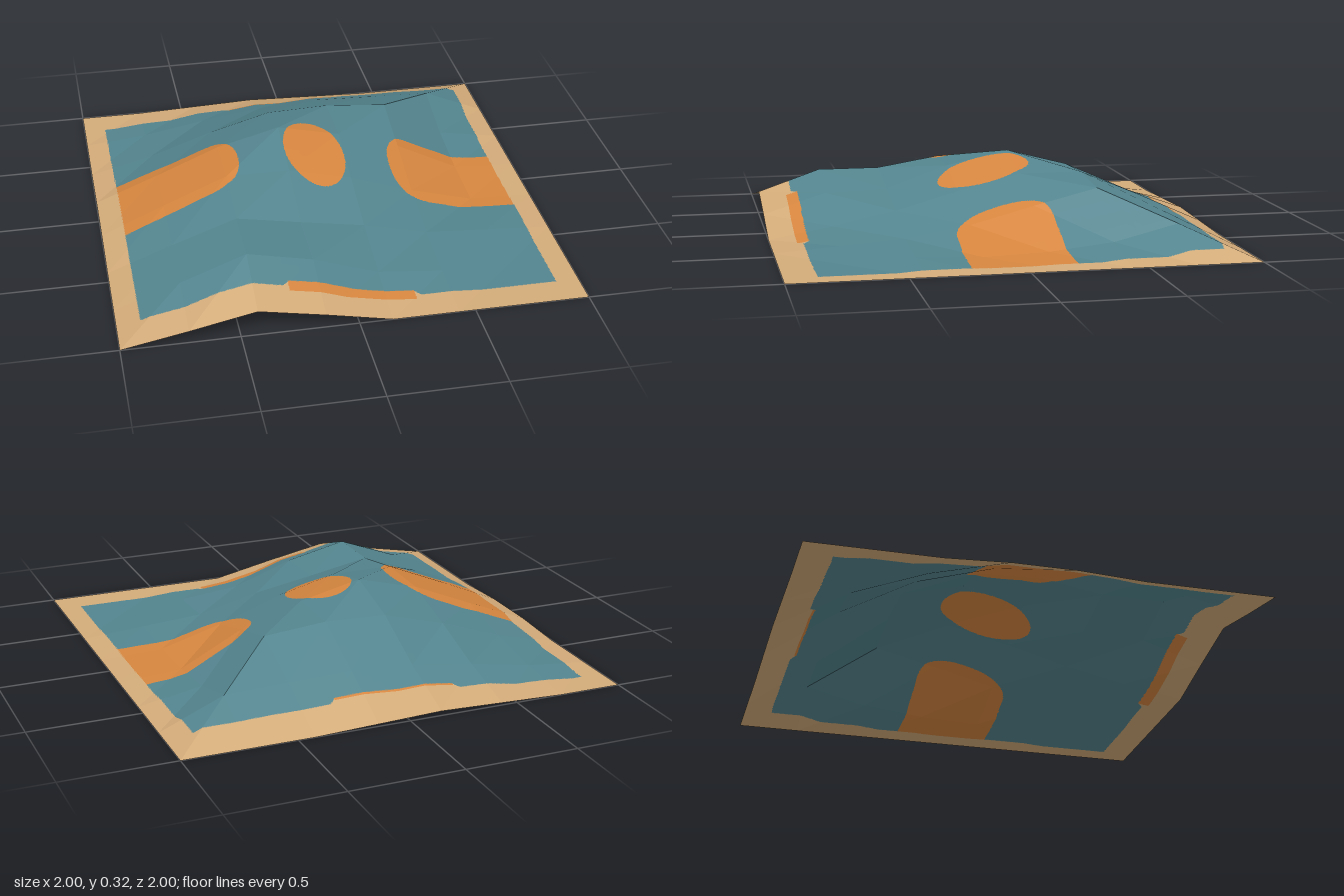
import * as THREE from 'three';

// Heights of the rumpled cloth: rows run back (z = -1) to front (z = 1), columns x = -1 to 1
const HEIGHTS = [
  [0, 0, 0.01, 0.02, 0.01, 0, 0, 0],
  [0, 0.03, 0.08, 0.12, 0.14, 0.13, 0.12, 0],
  [0, 0.07, 0.17, 0.25, 0.26, 0.235, 0.05, 0],
  [0.015, 0.13, 0.25, 0.325, 0.26, 0.165, 0.02, 0],
  [0.015, 0.14, 0.26, 0.26, 0.19, 0.09, 0.01, 0],
  [0, 0.11, 0.213, 0.16, 0.11, 0.04, 0.02, 0],
  [0, 0.105, 0.213, 0.15, 0.05, 0.02, 0, 0],
  [0, 0.055, 0.115, 0.06, 0, 0, 0, 0],
];
const SEGMENTS = 7;
const MIN_DEPTH = 3;
const MAX_DEPTH = 6;

// Which woven colour lies at a point of the cloth
function patternAt(x, z) {
  const ax = Math.abs(x), az = Math.abs(z);
  // end bands
  if (ax < 0.275 && ((z > 0.832 && z < 0.885) || (z < -0.832 && z > -0.845))) return 'motif';
  // field, notched behind the bands
  const notch = 0.86 - 0.027 * THREE.MathUtils.clamp((0.3 - ax) / 0.03, 0, 1);
  if (ax > 0.9 || az > notch) return 'border';
  // central oval
  if ((x / 0.14) ** 2 + (z / 0.212) ** 2 < 1) return 'motif';
  // side panels with rounded inner ends
  const inner = Math.max(0, (0.52 - ax) / 0.165);
  const halfWidth = 0.214 + 0.03 * Math.max(0, ax - 0.52);
  if (inner < 1 && inner ** 2.4 + (az / halfWidth) ** 2.4 < 1) return 'motif';
  return 'field';
}

// Splits a facet along the pattern outlines, collecting pieces by colour
function splitFacet(a, b, c, depth, out) {
  const centre = a.clone().add(b).add(c).divideScalar(3);
  const colour = patternAt(centre.x, centre.z);
  const uniform = [a, b, c].every((p) => patternAt(p.x, p.z) === colour);
  if (depth === MAX_DEPTH || (uniform && depth >= MIN_DEPTH)) {
    for (const p of [a, b, c]) out[colour].push(p.x, p.y, p.z);
    return;
  }
  const ab = a.clone().lerp(b, 0.5), bc = b.clone().lerp(c, 0.5), ca = c.clone().lerp(a, 0.5);
  splitFacet(a, ab, ca, depth + 1, out);
  splitFacet(ab, b, bc, depth + 1, out);
  splitFacet(ca, bc, c, depth + 1, out);
  splitFacet(ab, bc, ca, depth + 1, out);
}

export function createModel() {
  const group = new THREE.Group();
  group.name = 'rumpledRug';

  const colours = { border: 0xd3ab79, field: 0x54858f, motif: 0xd6863f };
  const out = { border: [], field: [], motif: [] };
  const point = (i, j) =>
    new THREE.Vector3(-1 + (2 * i) / SEGMENTS, HEIGHTS[j][i], -1 + (2 * j) / SEGMENTS);

  // Two flat facets per cell
  for (let j = 0; j < SEGMENTS; j++) {
    for (let i = 0; i < SEGMENTS; i++) {
      const a = point(i, j), b = point(i, j + 1), c = point(i + 1, j + 1), d = point(i + 1, j);
      splitFacet(a, b, d, 0, out);
      splitFacet(b, c, d, 0, out);
    }
  }

  // One mesh per woven colour
  for (const part of Object.keys(out)) {
    const geometry = new THREE.BufferGeometry();
    geometry.setAttribute('position', new THREE.Float32BufferAttribute(out[part], 3));
    geometry.computeVertexNormals();
    const material = new THREE.MeshStandardMaterial({
      color: colours[part], flatShading: true, side: THREE.DoubleSide,
    });
    material.name = { border: 'tan', field: 'teal', motif: 'orange' }[part];
    const mesh = new THREE.Mesh(geometry, material);
    mesh.name = part;
    group.add(mesh);
  }
  return group;
}
